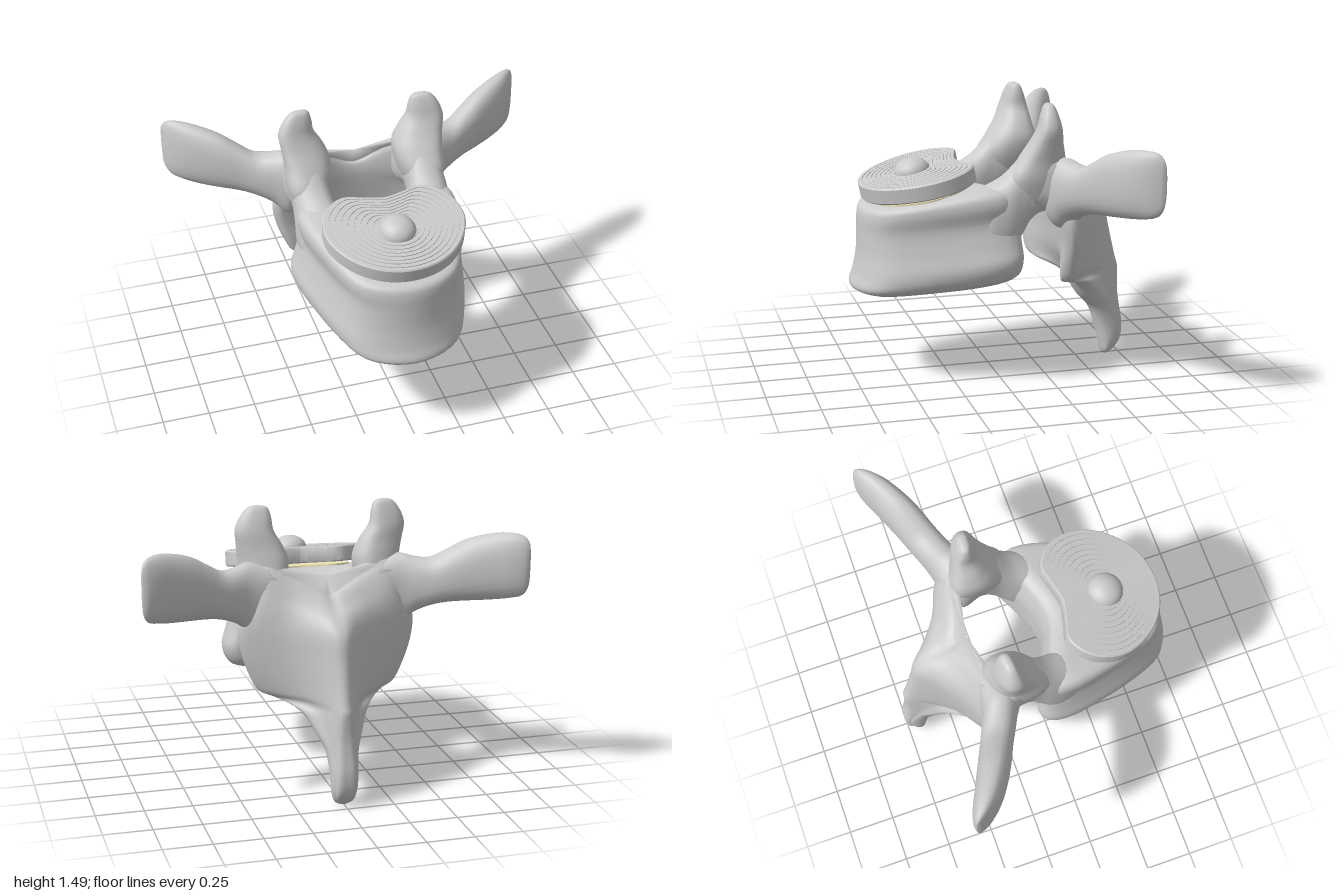
import * as THREE from 'three';
import { toCreasedNormals } from 'three/addons/utils/BufferGeometryUtils.js';

const V = (x, y, z) => new THREE.Vector3(x, y, z);
const mix = (a, b, t) => a + (b - a) * t;

// Skin a list of closed rings, with a fan over each end; always wound outward
function skin(rings) {
  const n = rings[0].length, pos = [], idx = [];
  rings.forEach(r => r.forEach(p => pos.push(p.x, p.y, p.z)));
  for (let i = 0; i < rings.length - 1; i++)
    for (let j = 0; j < n; j++) {
      const a = i * n + j, b = i * n + (j + 1) % n;
      idx.push(a, b, b + n, a, b + n, a + n);
    }
  [[0, true], [rings.length - 1, false]].forEach(([k, first]) => {
    const c = rings[k].reduce((s, p) => s.add(p), V(0, 0, 0)).divideScalar(n);
    const ci = pos.length / 3;
    pos.push(c.x, c.y, c.z);
    for (let j = 0; j < n; j++) {
      const a = k * n + j, b = k * n + (j + 1) % n;
      if (first) idx.push(ci, b, a);
      else idx.push(ci, a, b);
    }
  });
  // the sign of the enclosed volume tells whether the winding must be turned
  const at = i => V(pos[3 * i], pos[3 * i + 1], pos[3 * i + 2]);
  let vol = 0;
  for (let i = 0; i < idx.length; i += 3) vol += at(idx[i]).dot(at(idx[i + 1]).cross(at(idx[i + 2])));
  if (vol < 0) idx.reverse();
  const g = new THREE.BufferGeometry();
  g.setAttribute('position', new THREE.Float32BufferAttribute(pos, 3));
  g.setIndex(idx);
  g.computeVertexNormals();
  return g;
}

// Smooth loft: splines run through matching points of neighbouring rings
function loft(rings, steps = 4) {
  const m = (rings.length - 1) * steps;
  const lines = rings[0].map((_, j) => new THREE.CatmullRomCurve3(rings.map(r => r[j]), false, 'centripetal'));
  return skin(Array.from({ length: m + 1 }, (_, i) => lines.map(l => l.getPoint(i / m))));
}

// Closed smooth ring from the points of its +x half, first and last on x = 0
function mirrorRing(half, count = 48) {
  const other = half.slice(1, -1).reverse().map(p => V(-p.x, p.y, p.z));
  const c = new THREE.CatmullRomCurve3([...half, ...other], true, 'centripetal');
  return Array.from({ length: count }, (_, i) => c.getPoint(i / count));
}

// Rounded ring; place(u, v) maps the unit outline into space
function ovalRing(place, power = 0.8, count = 24) {
  const f = c => Math.sign(c) * Math.abs(c) ** power;
  return Array.from({ length: count }, (_, i) => {
    const a = (i / count) * Math.PI * 2;
    return place(f(Math.cos(a)), f(Math.sin(a)));
  });
}

export function createModel() {
  const model = new THREE.Group();
  const bone = new THREE.MeshStandardMaterial({ color: 0xcccccc });
  const cream = new THREE.MeshStandardMaterial({ color: 0xeee6b8 });
  const add = (name, geometry, parent = model, material = bone) => {
    const mesh = new THREE.Mesh(geometry, material);
    mesh.name = name;
    parent.add(mesh);
    return mesh;
  };

  // Vertebral body: half width, front z, back z, front y, back y
  const bodyOutline = [[0, 1], [0.33, 0.965], [0.6, 0.87], [0.77, 0.68], [0.9, 0.45],
    [1, 0.2], [0.98, 0.06], [0.86, 0], [0.5, 0.08], [0, 0.17]];
  const body = [
    [0.2, 0.5, 0.2, 0.475, 0.515], [0.36, 0.7, 0.03, 0.472, 0.55], [0.43, 0.755, -0.07, 0.5, 0.6],
    [0.46, 0.735, -0.09, 0.57, 0.69], [0.435, 0.715, -0.085, 0.68, 0.78], [0.41, 0.71, -0.075, 0.8, 0.9],
    [0.425, 0.707, -0.05, 0.88, 0.99], [0.415, 0.695, -0.02, 0.92, 1.04], [0.37, 0.66, 0.06, 0.94, 1.06],
    [0.2, 0.5, 0.2, 0.97, 1.035],
  ].map(([w, zf, zb, yf, yb]) =>
    mirrorRing(bodyOutline.map(([u, v]) => V(u * w, mix(yb, yf, v), mix(zb, zf, v)))));
  add('vertebralBody', loft(body));

  // Lamina and rear spine: y, half width, canal z, edge z, edge thickness, ridge z, ridge half width, middle sag
  const arch = [
    [1.2, 0.33, -0.37, -0.29, 0.05, -0.41, 0.04, 0.16], [1.17, 0.37, -0.355, -0.26, 0.1, -0.44, 0.06, 0.14],
    [1.08, 0.4, -0.345, -0.25, 0.14, -0.5, 0.06, 0.09], [0.98, 0.43, -0.345, -0.25, 0.15, -0.58, 0.06, 0.03],
    [0.88, 0.47, -0.35, -0.28, 0.11, -0.645, 0.055, 0], [0.75, 0.455, -0.365, -0.3, 0.09, -0.675, 0.05, 0],
    [0.62, 0.41, -0.385, -0.3, 0.09, -0.705, 0.045, 0], [0.54, 0.365, -0.42, -0.31, 0.08, -0.725, 0.045, 0],
    [0.505, 0.28, -0.44, -0.35, 0.07, -0.735, 0.045, 0],
    [0.46, 0.18, -0.45, -0.46, 0.08, -0.735, 0.045, 0], [0.36, 0.12, -0.5, -0.53, 0.1, -0.735, 0.045, 0],
    [0.28, 0.085, -0.57, -0.6, 0.08, -0.745, 0.045, 0], [0.18, 0.072, -0.605, -0.64, 0.08, -0.76, 0.045, 0],
    [0.08, 0.068, -0.63, -0.66, 0.05, -0.75, 0.045, 0], [0.02, 0.05, -0.645, -0.66, 0.03, -0.705, 0.03, 0],
    [0, 0.02, -0.66, -0.665, 0.01, -0.68, 0.01, 0],
  ].map(([y, w, zc, ze, t, zb, r, sag]) => {
    const back = ze - t, e = 0.9 * w;
    const P = (x, z) => V(x, y - sag * (1 - x / w), z);
    return mirrorRing([
      P(0, zc), P(0.45 * w, mix(zc, ze, 0.3)), P(e, ze), P(w, ze - t / 2), P(e, back),
      P(mix(r, e, 0.5), mix(back, zb, 0.32)), P(mix(r, e, 0.15), mix(back, zb, 0.7)),
      P(r * 0.7, mix(back, zb, 0.96)), P(0, zb),
    ]);
  });
  add('laminaAndSpine', loft(arch));

  for (const [side, s] of [['left', 1], ['right', -1]]) {
    // Pedicle: z, centre x, half width, low y, high y
    const pedicle = [
      [0.2, 0.26, 0.08, 0.7, 0.98], [0.1, 0.29, 0.12, 0.66, 1.05], [0, 0.31, 0.115, 0.68, 1.11],
      [-0.08, 0.315, 0.1, 0.78, 1.19], [-0.14, 0.315, 0.1, 0.88, 1.25], [-0.2, 0.32, 0.11, 0.92, 1.27],
      [-0.3, 0.32, 0.13, 0.9, 1.2], [-0.38, 0.32, 0.08, 0.95, 1.14],
    ].map(([z, x, w, lo, hi]) => ovalRing((u, v) => V(s * (x + u * w), mix(lo, hi, (v + 1) / 2), z)));
    add(side + 'Pedicle', loft(pedicle));

    // Upper facet horn: y, centre x, centre z, half width, half depth
    const horn = [
      [0.98, 0.32, -0.2, 0.09, 0.13], [1.1, 0.31, -0.19, 0.12, 0.16], [1.2, 0.305, -0.21, 0.125, 0.125],
      [1.28, 0.325, -0.225, 0.115, 0.09], [1.36, 0.353, -0.235, 0.096, 0.065], [1.43, 0.345, -0.235, 0.077, 0.045],
      [1.475, 0.335, -0.235, 0.05, 0.025], [1.485, 0.333, -0.235, 0.02, 0.01],
    ].map(([y, x, z, w, d]) => ovalRing((u, v) => V(s * (x + u * w), y, z + v * d + u * d * 0.2)));
    add(side + 'UpperFacetHorn', loft(horn));

    // Transverse wing: x, low y, high y, front z, back z
    const wing = [
      [0.28, 0.92, 1.18, -0.2, -0.39], [0.4, 0.84, 1.21, -0.2, -0.405], [0.47, 0.9, 1.195, -0.235, -0.43],
      [0.55, 0.94, 1.19, -0.275, -0.465], [0.63, 0.96, 1.235, -0.315, -0.5], [0.72, 0.97, 1.29, -0.355, -0.54],
      [0.82, 0.98, 1.325, -0.41, -0.585], [0.91, 0.995, 1.34, -0.475, -0.625], [0.97, 1.015, 1.33, -0.545, -0.64],
      [0.995, 1.06, 1.3, -0.595, -0.635], [1, 1.12, 1.25, -0.61, -0.63],
    ].map(([x, lo, hi, zf, zb]) => ovalRing((u, v) =>
      V(s * x, mix(lo, hi, (v + 1) / 2), mix(zb, zf, (u + 1) / 2)), 0.85));
    add(side + 'TransverseWing', loft(wing));
  }

  // Disc implant: kidney-shaped plate with fine concentric grooves and a dome
  const implant = new THREE.Group();
  implant.name = 'discImplant';
  implant.position.set(0, 1.06, 0.405);
  implant.rotation.x = 0.205;
  model.add(implant);
  const kidney = mirrorRing([[0, 0.29], [0.16, 0.255], [0.29, 0.15], [0.368, -0.02], [0.335, -0.19],
    [0.22, -0.285], [0.1, -0.26], [0, -0.24]].map(([x, z]) => V(x, 0, z)), 64);
  const plate = levels => toCreasedNormals(
    skin(levels.map(([k, y]) => kidney.map(p => V(p.x * k, y, p.z * k)))), 0.6);
  const levels = [[0.98, -0.043], [1, -0.036], [1, 0.036], [0.98, 0.043]];
  for (let k = 0.92; k > 0.25; k -= 0.085)
    levels.push([k, 0.043], [k - 0.002, 0.039], [k - 0.012, 0.039], [k - 0.014, 0.043]);
  add('groovedPlate', plate(levels), implant);
  add('underlay', plate([[0.86, -0.1], [0.86, -0.058]]), implant, cream);
  const dome = add('dome', new THREE.SphereGeometry(0.095, 32, 12, 0, Math.PI * 2, 0, Math.PI / 2), implant);
  dome.position.set(0, 0.036, 0);
  dome.scale.y = 0.75;

  return model;
}
